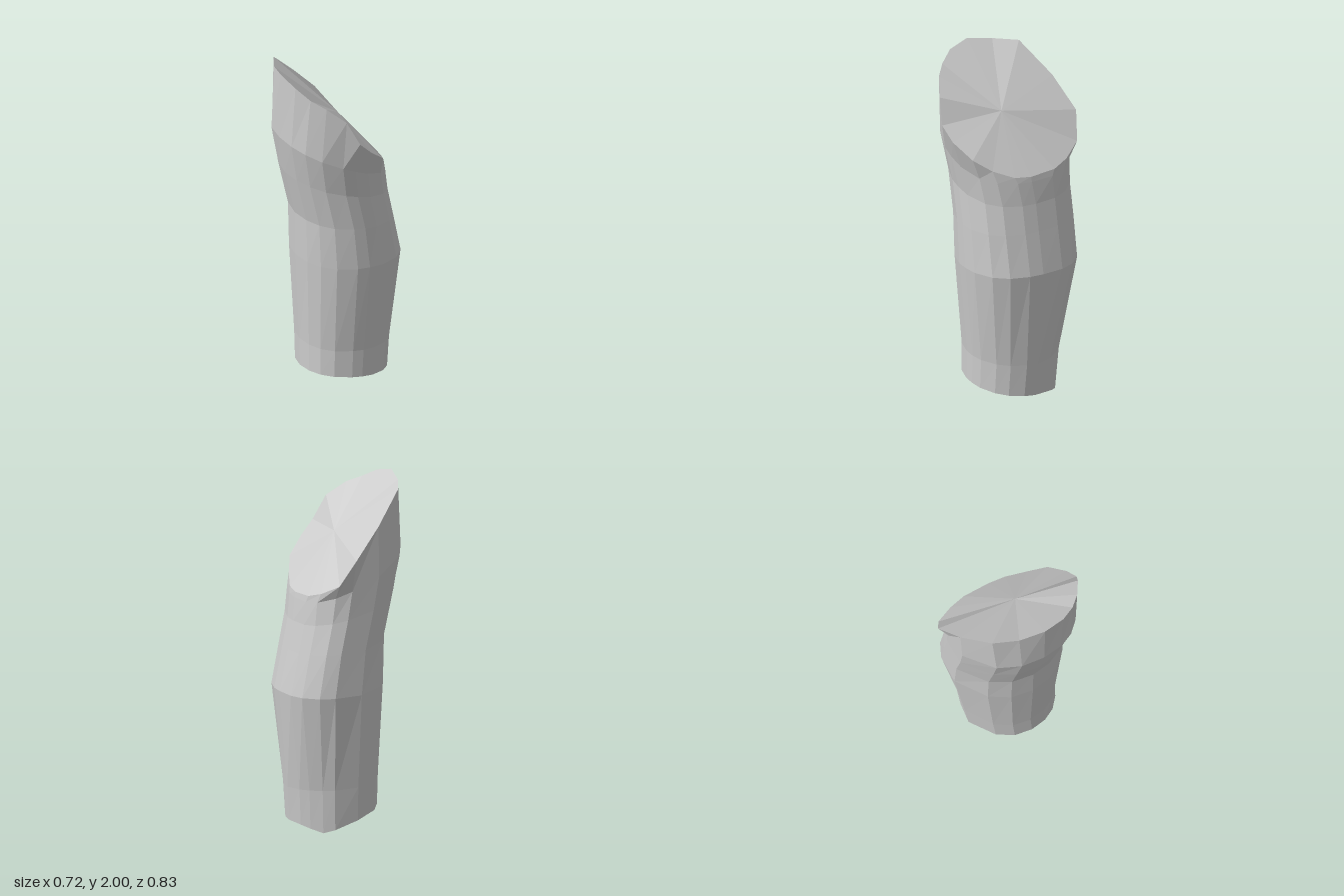
import * as THREE from 'three';

// Slanted top rim: [x, y, z], clockwise seen from above
const RIM = [
  [0.06, 1.61, -0.415], [0.145, 1.46, -0.37], [0.21, 1.4, -0.26], [0.245, 1.37, -0.16],
  [0.255, 1.36, 0], [0.245, 1.37, 0.1], [0.2, 1.42, 0.22], [0.15, 1.49, 0.32],
  [0.05, 1.58, 0.39], [-0.03, 1.66, 0.412], [-0.1, 1.8, 0.385], [-0.2, 1.88, 0.33],
  [-0.27, 1.92, 0.265], [-0.325, 1.97, 0.18], [-0.355, 2.0, 0.05], [-0.33, 1.975, -0.1],
  [-0.27, 1.955, -0.24], [-0.1, 1.78, -0.355],
];

// Corner fullness in the order -x+z, +x+z, -x-z, +x-z (2 is an ellipse)
const BODY = [2.25, 2.45, 1.7, 2.5];
const END = [2.4, 2.1, 1.7, 1.65];

// Lower cross-sections: x range, z range, height on the -x and +x sides
const SECTIONS = [
  { x: [-0.362, 0.26], z: [-0.355, 0.35], y: [1.6, 1.33], full: [2.3, 2.3, 1.9, 2.9] },
  { x: [-0.32, 0.278], z: [-0.355, 0.32], y: [1.36, 1.2], full: BODY },
  { x: [-0.26, 0.31], z: [-0.355, 0.32], y: [1.09, 1.04], full: BODY },
  { x: [-0.255, 0.36], z: [-0.355, 0.32], y: [0.82, 0.8], full: BODY },
  { x: [-0.23, 0.31], z: [-0.29, 0.265], y: [0.28, 0.24], full: END },
  { x: [-0.23, 0.295], z: [-0.27, 0.265], y: [0.11, 0.045], full: END, cut: true },
];

const mid = ([a, b]) => (a + b) / 2;
const half = ([a, b]) => (b - a) / 2;

// Oval with its own fullness per corner, following the angles of the rim points
function ring({ x, z, y, full, cut }) {
  return RIM.map(([rx, , rz]) => {
    const a = Math.atan2(rz / 0.413, (rx + 0.05) / 0.31);
    const c = Math.cos(a), s = Math.sin(a);
    const p = full[(s < 0 ? 2 : 0) + (c > 0 ? 1 : 0)];
    const k = Math.pow(Math.abs(c) ** p + Math.abs(s) ** p, -1 / p);
    const u = c * k, v = s * k;
    let h = mid(y) + half(y) * u;
    // Ragged lower edge, deepest at the back on the +x side
    if (cut) h += 0.015 * v - (v < 0 ? 0.055 * Math.max(0, 1 - 2.2 * Math.abs(u - 0.5)) : 0);
    return [mid(x) + half(x) * u, Math.max(0, h), mid(z) + half(z) * v];
  });
}

function flatMesh(name, triangles) {
  const geometry = new THREE.BufferGeometry();
  geometry.setAttribute('position', new THREE.Float32BufferAttribute(triangles.flat(2), 3));
  geometry.computeVertexNormals();
  const mesh = new THREE.Mesh(
    geometry,
    new THREE.MeshStandardMaterial({ color: 0xcccccc, flatShading: true, side: THREE.DoubleSide })
  );
  mesh.name = name;
  return mesh;
}

// Fan from a centre point to a ring
function fan(center, points, up) {
  return points.map((p, i) => {
    const q = points[(i + 1) % points.length];
    return up ? [center, q, p] : [center, p, q];
  });
}

export function createModel() {
  const group = new THREE.Group();
  group.name = 'limbSegment';
  const rings = [RIM, ...SECTIONS.map(ring)];

  // Faceted side wall
  const wall = [];
  for (let r = 0; r < rings.length - 1; r++) {
    const U = rings[r], L = rings[r + 1];
    for (let i = 0; i < U.length; i++) {
      const j = (i + 1) % U.length;
      wall.push([L[j], L[i], U[i]], [L[j], U[i], U[j]]);
    }
  }
  group.add(flatMesh('sideWall', wall));

  // Slanted upper cut and lower end
  group.add(flatMesh('topCap', fan([0, 1.68, 0.04], RIM, true)));
  group.add(flatMesh('bottomCap', fan([0.03, 0.06, 0], rings[rings.length - 1], false)));
  return group;
}
